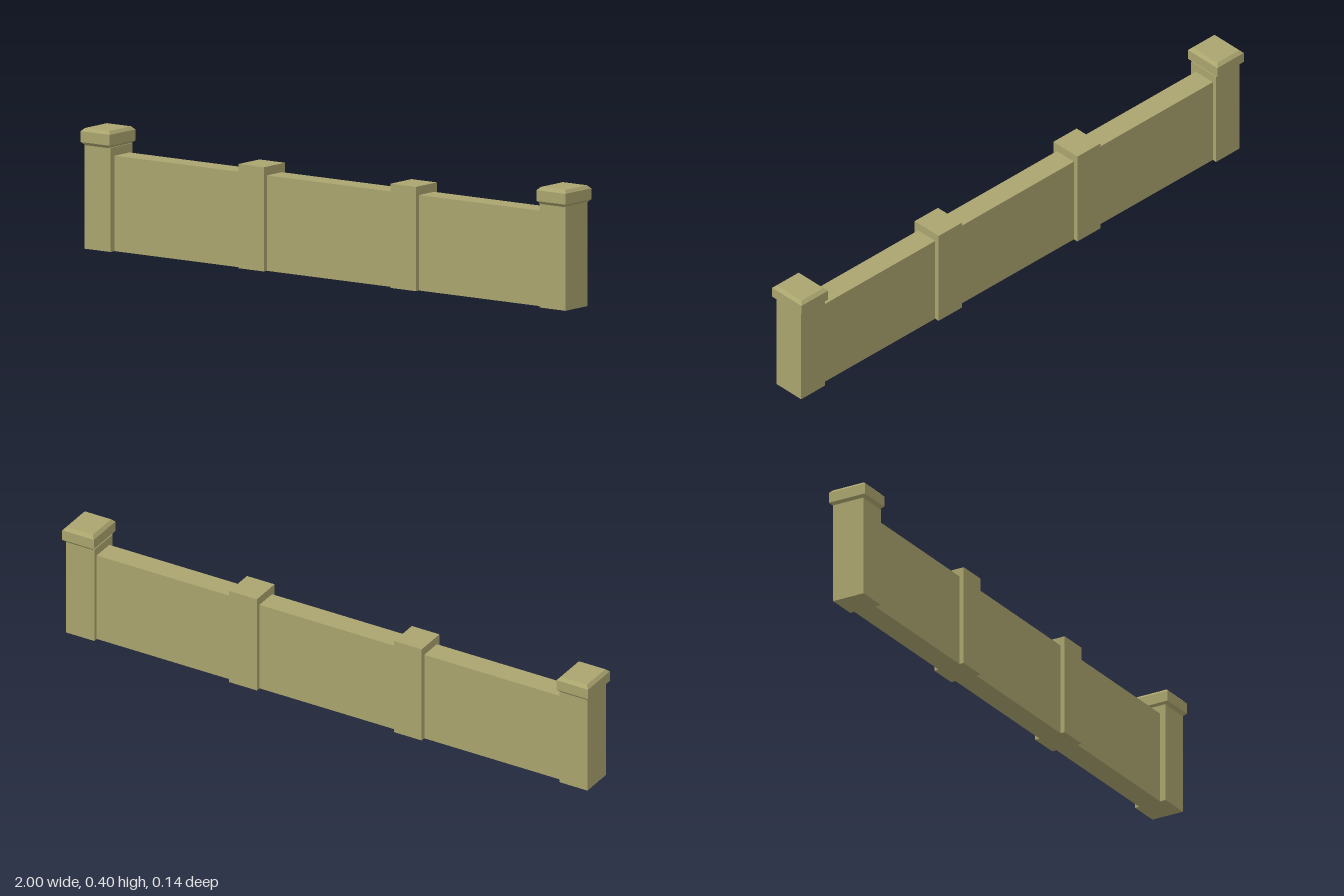
import * as THREE from 'three';

const stone = new THREE.MeshStandardMaterial({ color: 0xaaa46e });
stone.name = 'sandstone';

// Box standing on the ground
function block(name, width, height, depth, x, z) {
  const mesh = new THREE.Mesh(new THREE.BoxGeometry(width, height, depth), stone);
  mesh.name = name;
  mesh.position.set(x, height / 2, z);
  return mesh;
}

// Square slab with chamfered top and bottom edges
function capGeometry(width, height, depth, bevel) {
  const w = width / 2 - bevel, d = depth / 2 - bevel;
  const shape = new THREE.Shape([
    new THREE.Vector2(-w, -d), new THREE.Vector2(w, -d),
    new THREE.Vector2(w, d), new THREE.Vector2(-w, d),
  ]);
  const geometry = new THREE.ExtrudeGeometry(shape, {
    depth: height - 2 * bevel, bevelEnabled: true,
    bevelThickness: bevel, bevelSize: bevel, bevelSegments: 1,
  });
  return geometry.rotateX(-Math.PI / 2).translate(0, bevel, 0);
}

export function createModel() {
  const model = new THREE.Group();
  model.name = 'gardenWall';

  // Long low wall running between the end posts
  model.add(block('wall', 1.8, 0.316, 0.08, 0, -0.003));

  // Intermediate piers
  model.add(block('rightPier', 0.105, 0.345, 0.113, -0.309, -0.003));
  model.add(block('leftPier', 0.105, 0.345, 0.113, 0.318, -0.003));

  // End posts with chamfered caps
  const cap = capGeometry(0.12, 0.057, 0.138, 0.0105);
  for (const side of [-1, 1]) {
    const post = new THREE.Group();
    post.name = side > 0 ? 'leftEndPost' : 'rightEndPost';
    post.add(block('postShaft', 0.107, 0.345, 0.117, side * 0.938, 0));
    const top = new THREE.Mesh(cap, stone);
    top.name = 'postCap';
    top.position.set(side * 0.94, 0.343, 0);
    post.add(top);
    model.add(post);
  }
  return model;
}
